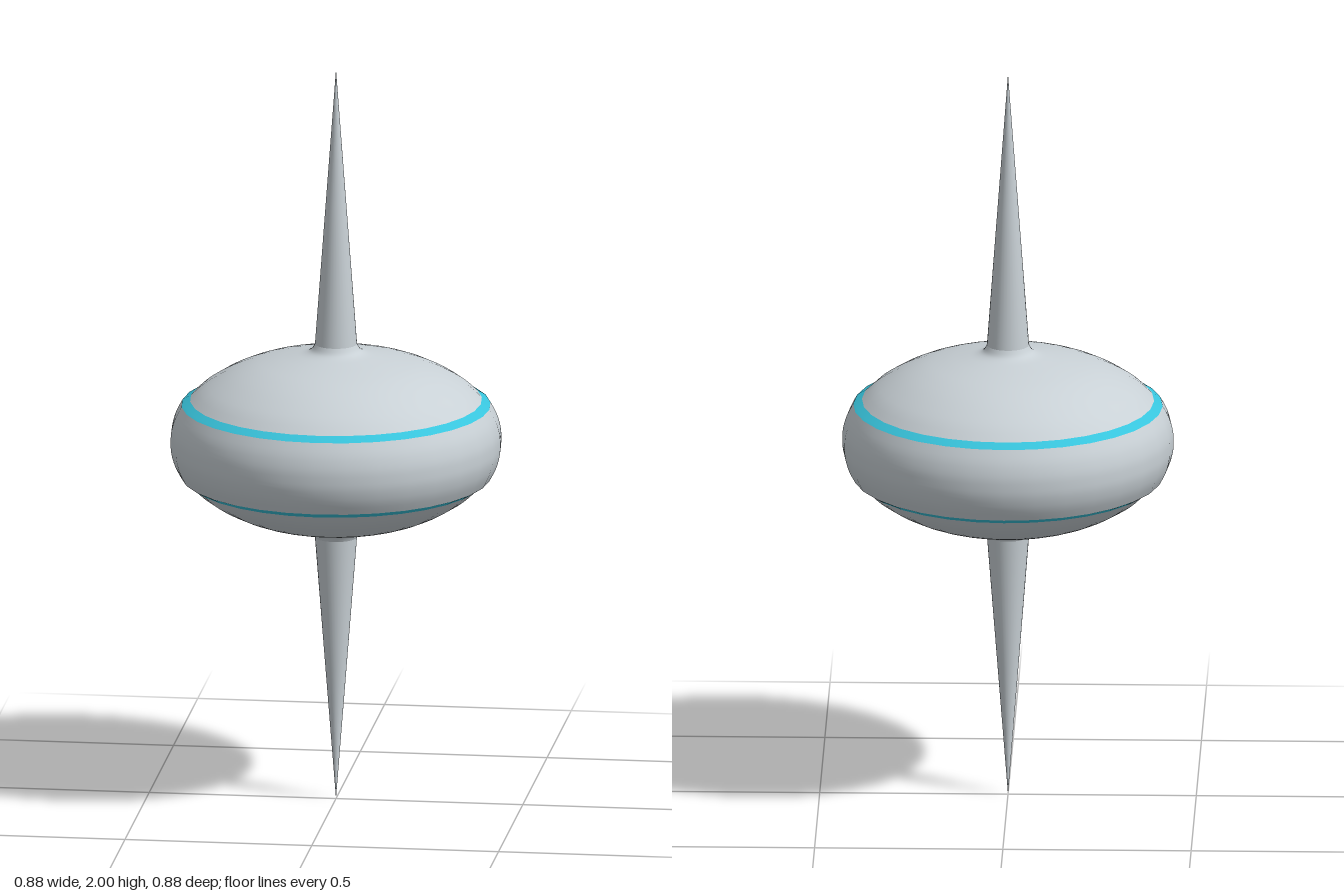
import * as THREE from 'three';

const SIDES = 32;
const MID = 0.983; // height of the widest point of the body

export function createModel() {
  const model = new THREE.Group();
  model.name = 'spindle';
  const shell = new THREE.MeshStandardMaterial({ name: 'pale grey', color: 0xc8d0d5 });
  const glow = new THREE.MeshStandardMaterial({ name: 'cyan', color: 0x38c4dc });

  // Turn a profile of [radius, height above the middle], listed bottom to top
  const turn = (name, profile, material) => {
    const points = profile.map(([r, h]) => new THREE.Vector2(r, MID + h));
    const mesh = new THREE.Mesh(new THREE.LatheGeometry(points, SIDES), material);
    mesh.name = name;
    model.add(mesh);
  };
  const smooth = (profile, n) => new THREE.SplineCurve(
    profile.map(([r, h]) => new THREE.Vector2(r, h))).getPoints(n).map(p => [p.x, p.y]);

  // Rounded belt around the middle
  turn('belt', smooth([[0.411, -0.098], [0.428, -0.065], [0.438, -0.03], [0.44, 0],
    [0.438, 0.03], [0.428, 0.065], [0.411, 0.098]], 18), shell);

  // Dome, glowing seam and spike, repeated above and below
  const dome = smooth([[0.388, 0.112], [0.35, 0.146], [0.29, 0.182], [0.23, 0.207],
    [0.17, 0.223], [0.12, 0.233], [0.085, 0.24], [0.066, 0.249], [0.056, 0.265]], 28);
  const seam = [[0.411, 0.098], [0.405, 0.102], [0.388, 0.112]];
  for (const [side, sign, tip] of [['upper', 1, 2 - MID], ['lower', -1, MID]]) {
    const place = profile => {
      const placed = profile.map(([r, h]) => [r, sign * h]);
      return sign > 0 ? placed : placed.reverse();
    };
    turn(side + 'Dome', place(dome), shell);
    turn(side + 'Seam', place(seam), glow);
    turn(side + 'Spike', place([[0.056, 0.265], [0.028, (0.265 + tip) / 2], [0, tip]]), shell);
  }
  return model;
}
